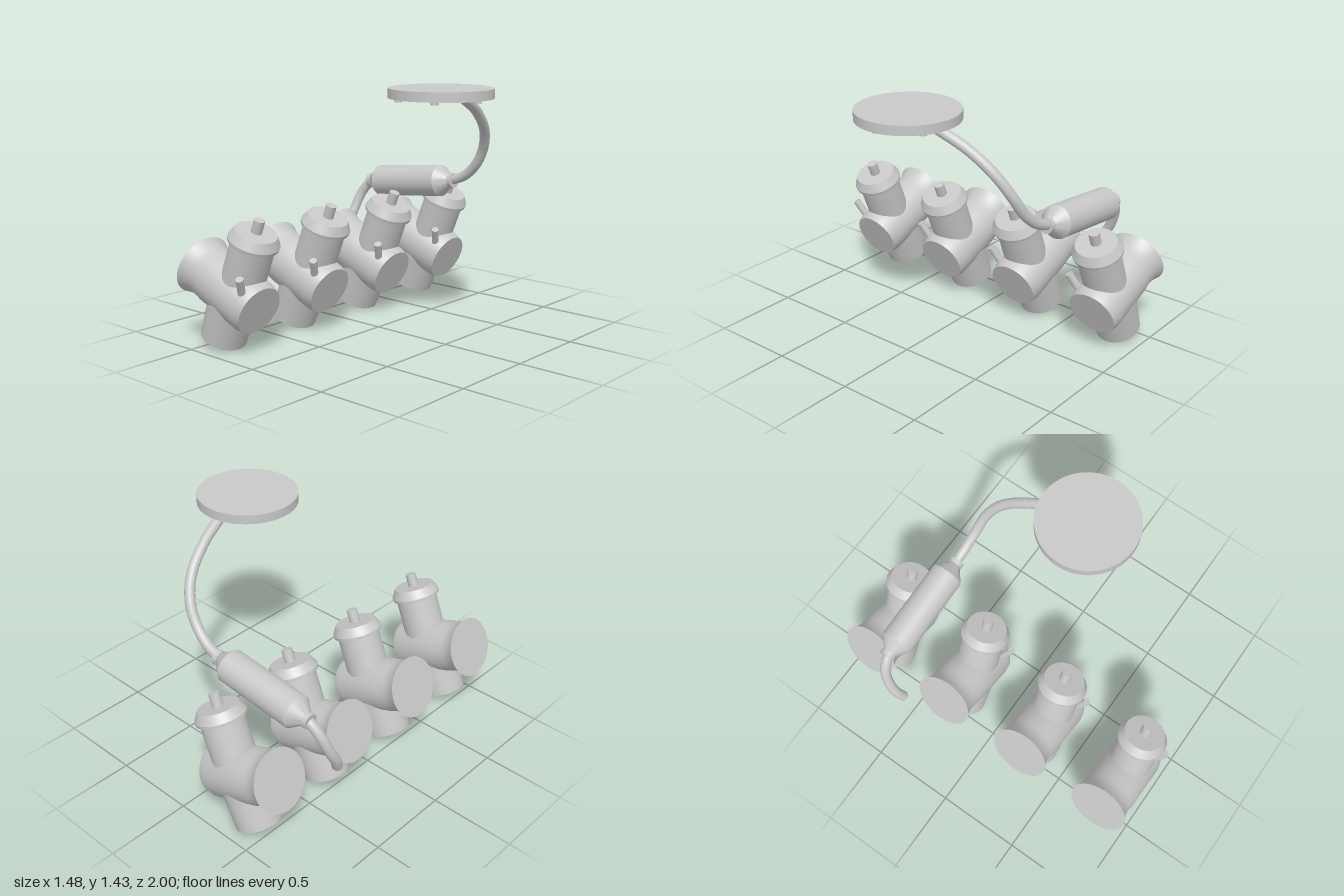
import * as THREE from 'three';
import { toCreasedNormals } from 'three/addons/utils/BufferGeometryUtils.js';

const metal = new THREE.MeshStandardMaterial({ color: 0xc8c8c8 });
metal.name = 'plain grey metal';

const UP = new THREE.Vector3(0, 1, 0);
const vec = (p) => new THREE.Vector3(...p);

function part(name, geometry) {
  const mesh = new THREE.Mesh(geometry, metal);
  mesh.name = name;
  return mesh;
}

// Solid of revolution about y from [radius, height] pairs, low to high, closed at both ends
function turned(name, profile, segments = 48) {
  const first = profile[0], last = profile[profile.length - 1];
  const points = [[0, first[1]], ...profile, [0, last[1]]].map(([r, y]) => new THREE.Vector2(r, y));
  return part(name, toCreasedNormals(new THREE.LatheGeometry(points, segments), 0.45));
}

// Cylinder between two points
function rod(name, from, to, radius, sides = 24) {
  const a = vec(from), b = vec(to), dir = b.clone().sub(a);
  const mesh = part(name, new THREE.CylinderGeometry(radius, radius, dir.length(), sides));
  mesh.position.copy(a).add(b).multiplyScalar(0.5);
  mesh.quaternion.setFromUnitVectors(UP, dir.normalize());
  return mesh;
}

// Round pipe along a smooth path with flat closed ends
function pipe(name, path, radius) {
  const group = new THREE.Group();
  group.name = name;
  const curve = new THREE.CatmullRomCurve3(path.map(vec));
  group.add(part(name + 'Wall', new THREE.TubeGeometry(curve, 48, radius, 24)));
  for (const t of [0, 1]) {
    const cap = part(name + 'End', new THREE.CircleGeometry(radius, 24));
    const out = curve.getTangentAt(t).multiplyScalar(t ? 1 : -1);
    cap.position.copy(curve.getPointAt(t));
    cap.quaternion.setFromUnitVectors(new THREE.Vector3(0, 0, 1), out);
    group.add(cap);
  }
  return group;
}

// One carburettor: bore along local x, barrel along local y
function carburettor(z) {
  const group = new THREE.Group();
  group.name = 'carburettor';

  const bore = turned('boreWithIntakeBell', [
    [0.177, -0.327], [0.167, -0.305], [0.157, -0.278], [0.152, -0.25],
    [0.151, -0.22], [0.156, -0.174], [0.155, 0.125], [0.144, 0.169],
  ]);
  bore.rotation.z = -Math.PI / 2;

  const barrel = turned('slideBarrel', [[0.124, 0], [0.124, 0.345]]);
  const cap = turned('barrelCap', [[0.143, 0.33], [0.145, 0.348], [0.118, 0.399]]);
  const stem = rod('cableStem', [0, 0.38, 0], [0, 0.474, 0], 0.031);

  const bowl = turned('floatBowl', [[0.13, -0.299], [0.143, -0.04]]);
  bowl.position.x = -0.028;
  const plug = rod('drainPlug', [-0.028, -0.34, 0], [-0.028, -0.28, 0], 0.031, 6);

  const screw = rod('sideScrew', [0.11, 0.08, 0.095], [0.107, 0.2, 0.15], 0.022);

  group.add(bore, barrel, cap, stem, bowl, plug, screw);
  group.position.set(-0.287, 0.323, z);
  group.rotation.z = -0.38;
  return group;
}

export function createModel() {
  const model = new THREE.Group();
  model.name = 'carburettorBankAndExhaust';

  // Row of four carburettors
  for (const z of [-0.825, -0.275, 0.275, 0.825]) model.add(carburettor(z));

  // Silencer with coned ends and collars
  const silencer = turned('silencer', [
    [0.045, -0.347], [0.045, -0.318], [0.038, -0.318], [0.097, -0.246],
    [0.097, 0.246], [0.038, 0.318], [0.045, 0.318], [0.045, 0.347],
  ]);
  silencer.position.set(-0.28, 0.773, -0.63);
  silencer.rotation.z = -Math.PI / 2 + 0.106;
  model.add(silencer);

  // Pipes on both sides of the silencer
  model.add(pipe('upperPipe', [
    [0.45, 1.37, -0.2], [0.41, 1.28, -0.38], [0.365, 1.16, -0.52], [0.31, 1.04, -0.59],
    [0.24, 0.93, -0.615], [0.145, 0.85, -0.628], [0.03, 0.805, -0.632],
  ], 0.03));
  model.add(pipe('tailPipe', [
    [-0.59, 0.74, -0.63], [-0.635, 0.71, -0.623], [-0.682, 0.645, -0.607],
    [-0.71, 0.54, -0.568], [-0.713, 0.47, -0.53], [-0.697, 0.4, -0.497],
  ], 0.03));

  // Round plate with six bolts underneath
  const plate = rod('roundPlate', [0.45, 1.386, 0], [0.45, 1.44, 0], 0.289, 64);
  model.add(plate);
  for (let i = 0; i < 6; i++) {
    const a = (i * Math.PI) / 3;
    const x = 0.45 + 0.245 * Math.cos(a), z = 0.245 * Math.sin(a);
    model.add(rod('plateBolt', [x, 1.37, z], [x, 1.4, z], 0.02, 16));
  }
  return model;
}
